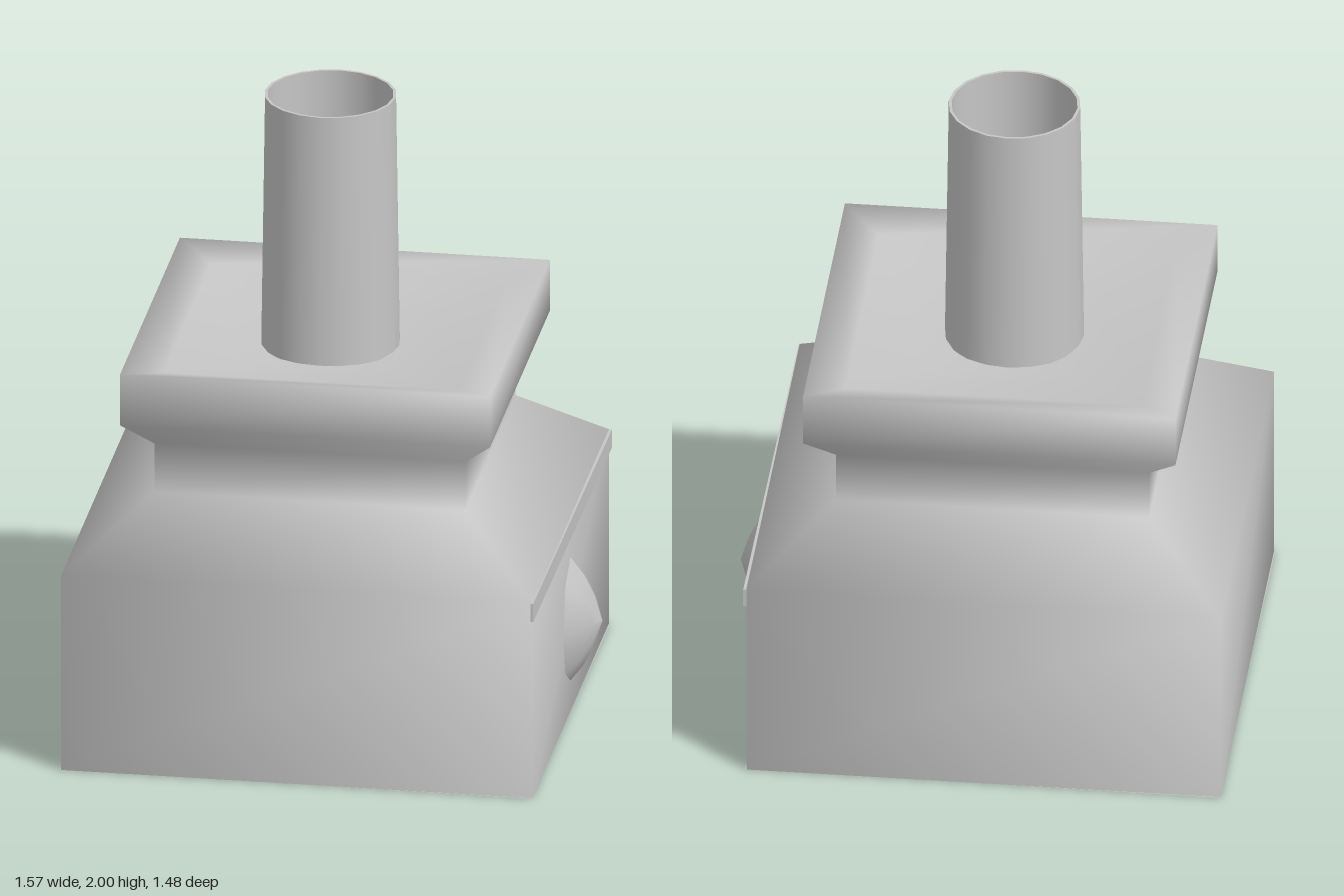
import * as THREE from 'three';

const CX = -0.05;

// Square rings [half width, height] stacked into one softly shaded skin
function squareLoft(rings, apexY) {
  const corners = [[1, 1], [1, -1], [-1, -1], [-1, 1]];
  const pos = [], idx = [];
  for (const [h, y] of rings)
    for (const [sx, sz] of corners) pos.push(sx * h, y, sz * h);
  for (let i = 0; i < rings.length - 1; i++)
    for (let j = 0; j < 4; j++) {
      const k = (j + 1) % 4;
      const a = i * 4 + j, b = i * 4 + k, c = b + 4, d = a + 4;
      idx.push(a, b, c, a, c, d);
    }
  // close the sunken top to a centre point
  const last = (rings.length - 1) * 4, apex = pos.length / 3;
  pos.push(0, apexY, 0);
  for (let j = 0; j < 4; j++) idx.push(last + j, last + (j + 1) % 4, apex);
  const g = new THREE.BufferGeometry();
  g.setAttribute('position', new THREE.Float32BufferAttribute(pos, 3));
  g.setIndex(idx);
  g.computeVertexNormals();
  return g;
}

const lathe = (points, sides) =>
  new THREE.LatheGeometry(points.map(p => new THREE.Vector2(...p)), sides);

export function createModel() {
  const group = new THREE.Group();
  const grey = new THREE.MeshStandardMaterial({ color: 0xc6c6c6, side: THREE.DoubleSide });
  grey.name = 'grey';
  const add = (name, geometry, x, y, z) => {
    const m = new THREE.Mesh(geometry, grey);
    m.name = name;
    m.position.set(x, y, z);
    group.add(m);
    return m;
  };

  // Body: base block, sloped shoulder, neck, flared collar and shallow dished top
  const body = add('body', squareLoft([
    [0.735, 0], [0.735, 0.645], [0.485, 0.84], [0.485, 1.0],
    [0.577, 1.09], [0.577, 1.258], [0.46, 1.225], [0.25, 1.185],
  ], 1.17), CX, 0, 0);
  body.rotation.y = 0.005;

  // Flat underside
  const bottom = add('underside', new THREE.PlaneGeometry(1.47, 1.47), CX, 0, 0);
  bottom.rotation.x = Math.PI / 2;

  // Hollow, slightly tapered chimney pipe
  const wall = [[0.216, 1.16], [0.204, 2], [0.195, 2], [0.201, 1.16]];
  ['pipeOuter', 'pipeRim', 'pipeInner'].forEach((name, i) =>
    add(name, lathe([wall[i], wall[i + 1]], 20), -0.063, 0, 0.005));

  // Thin ledge along the left side
  add('sideLedge', new THREE.BoxGeometry(0.009, 0.06, 1.47), 0.687, 0.615, 0);

  // Faceted oval knob with a pointed dome, below the ledge
  const knobGeometry = lathe([[1, 0], [0.74, 0.4], [0.42, 0.73], [0, 1]], 8);
  knobGeometry.rotateZ(-Math.PI / 2);
  knobGeometry.scale(0.102, 0.207, 0.142);
  add('knob', knobGeometry, 0.683, 0.307, 0);

  return group;
}
